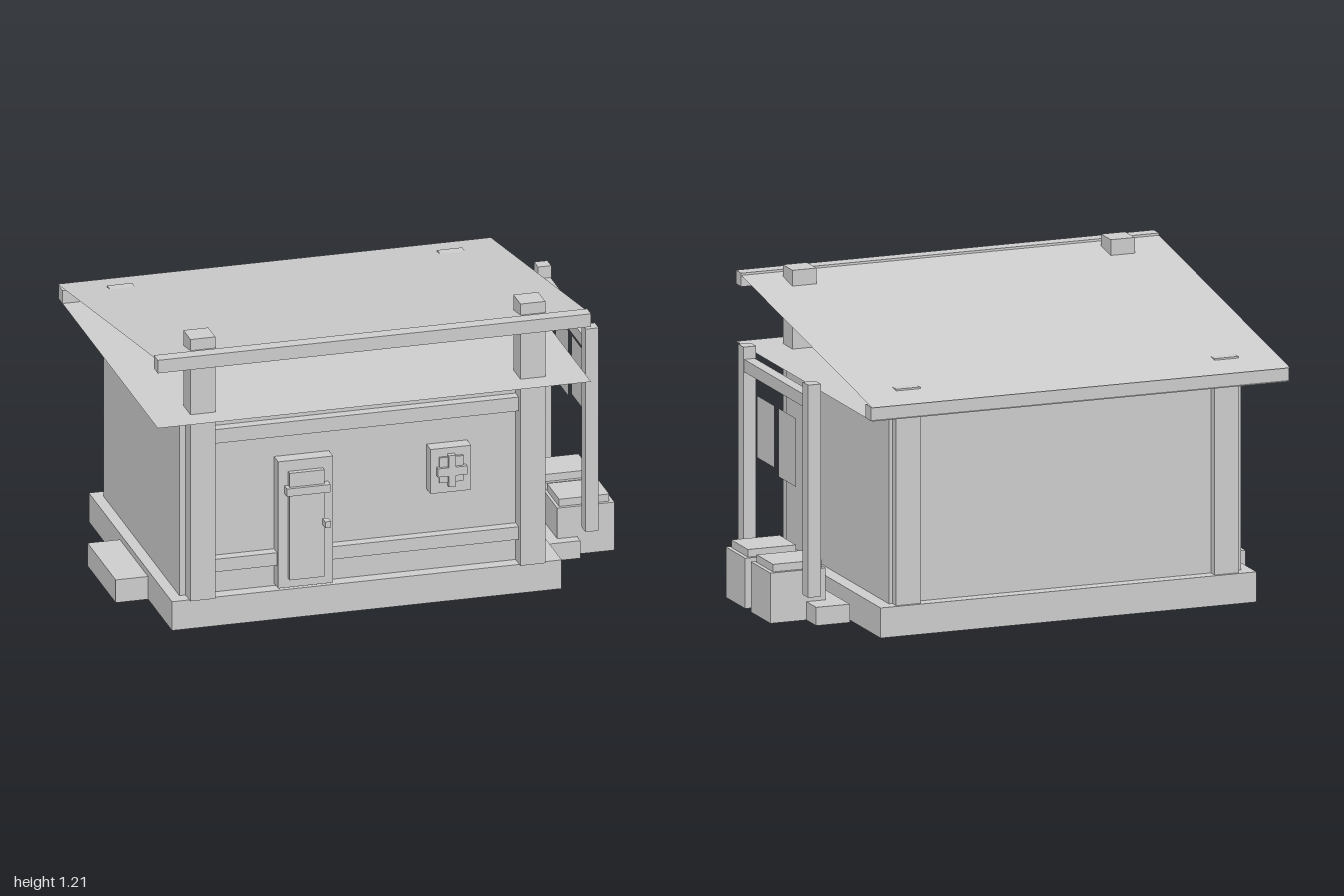
import * as THREE from 'three';

export function createModel() {
  const group = new THREE.Group();
  const plaster = new THREE.MeshStandardMaterial({ color: 0xcccccc });
  plaster.name = 'light grey';
  plaster.side = THREE.DoubleSide;

  // Box from its limits on each axis
  const box = (name, [x0, x1], [y0, y1], [z0, z1]) => {
    const mesh = new THREE.Mesh(new THREE.BoxGeometry(x1 - x0, y1 - y0, z1 - z0), plaster);
    mesh.position.set((x0 + x1) / 2, (y0 + y1) / 2, (z0 + z1) / 2);
    mesh.name = name;
    group.add(mesh);
  };

  // Roof sheet spanning from a back edge to a front edge
  const sheet = (name, [x0, x1], [yBack, zBack], [yFront, zFront]) => {
    const depth = Math.hypot(yFront - yBack, zFront - zBack);
    const geometry = new THREE.PlaneGeometry(x1 - x0, depth);
    geometry.rotateX(-Math.PI / 2 - Math.atan2(yFront - yBack, zFront - zBack));
    const mesh = new THREE.Mesh(geometry, plaster);
    mesh.position.set((x0 + x1) / 2, (yBack + yFront) / 2, (zBack + zFront) / 2);
    mesh.name = name;
    group.add(mesh);
  };

  // Foundation, side step and walls
  box('foundation', [-0.87, 0.695], [0, 0.12], [-0.58, 0.585]);
  box('sideStep', [-1, -0.87], [0, 0.095], [-0.145, 0.25]);
  box('walls', [-0.825, 0.64], [0.12, 0.858], [-0.53, 0.532]);

  // Corner posts, taller at the front
  for (const x of [-0.8, 0.525]) {
    box('frontPost', [x, x + 0.1], [0.12, 1.21], [0.5, 0.6]);
    box('backPost', [x, x + 0.1], [0.12, 0.98], [-0.568, -0.467]);
  }

  // Horizontal timbers across the front
  box('upperTimber', [-0.7, 0.525], [0.755, 0.813], [0.53, 0.575]);
  box('lowerTimber', [-0.7, 0.525], [0.22, 0.273], [0.53, 0.575]);

  // Sloping roof over a flat ceiling, with edge beams
  const roofX = [-0.96, 0.78];
  sheet('roof', roofX, [0.951, -0.705], [1.18, 0.7]);
  sheet('ceiling', roofX, [0.897, -0.705], [0.897, 0.7]);
  box('frontRoofBeam', roofX, [1.126, 1.18], [0.645, 0.7]);
  box('backRoofBeam', roofX, [0.896, 0.951], [-0.69, -0.635]);

  // Door
  box('doorFrame', [-0.445, -0.225], [0.13, 0.657], [0.53, 0.59]);
  box('door', [-0.405, -0.265], [0.168, 0.613], [0.58, 0.612]);
  box('doorBar', [-0.42, -0.245], [0.523, 0.555], [0.59, 0.627]);
  box('doorKnob', [-0.273, -0.25], [0.385, 0.411], [0.612, 0.65]);

  // Window
  box('windowFrame', [0.167, 0.33], [0.455, 0.64], [0.53, 0.59]);
  box('windowPane', [0.2, 0.297], [0.5, 0.605], [0.58, 0.6]);
  box('windowMullion', [0.234, 0.262], [0.485, 0.615], [0.58, 0.612]);
  box('windowTransom', [0.19, 0.308], [0.53, 0.565], [0.58, 0.612]);

  // Hanging rack beside the house
  for (const z of [-0.36, 0.305]) box('rackPost', [0.855, 0.908], [0.13, 0.975], [z, z + 0.055]);
  box('rackRail', [0.86, 0.905], [0.876, 0.926], [-0.305, 0.305]);
  box('rackFoot', [0.71, 0.85], [0, 0.073], [-0.3, 0.304]);

  // Cloths hung under the rail
  for (const [z0, z1, y0] of [[0.003, 0.188, 0.563], [-0.217, -0.035, 0.537]]) {
    const cloth = new THREE.Mesh(new THREE.PlaneGeometry(z1 - z0, 0.809 - y0), plaster);
    cloth.rotation.y = Math.PI / 2;
    cloth.position.set(0.9, (y0 + 0.809) / 2, (z0 + z1) / 2);
    cloth.name = 'cloth';
    group.add(cloth);
  }

  // Two lidded crates
  for (const z of [-0.2, 0.06]) {
    box('crate', [0.77, 1], [0, 0.2], [z, z + 0.2]);
    box('crateLid', [0.782, 0.983], [0.2, 0.23], [z + 0.015, z + 0.185]);
  }

  return group;
}
